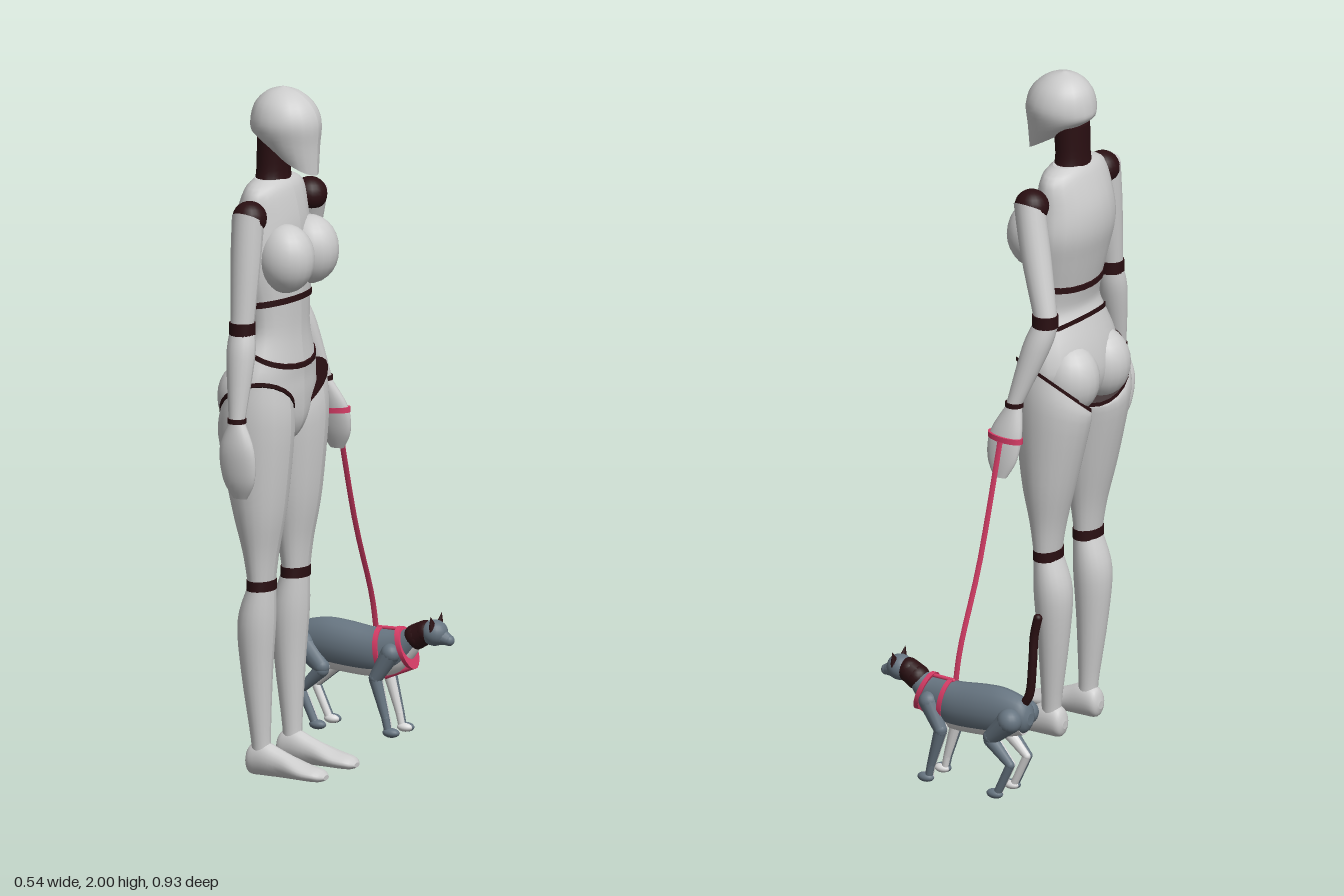
import * as THREE from 'three';

const paint = (name, color) => Object.assign(new THREE.MeshStandardMaterial({ color }), { name });
const shell = paint('pale grey', 0xcccccc);
const dark = paint('dark brown', 0x2a0f12);
const slate = paint('slate grey', 0x667480);
const pink = paint('pink', 0xd63c66);
const white = paint('off white', 0xdcdcdc);

const V = (x, y, z) => new THREE.Vector3(x, y, z);
const MID = 0.16; // centre plane of the figure
const CAT = -0.39; // centre plane of the cat

function add(group, name, geo, mat) {
  const m = new THREE.Mesh(geo, mat);
  m.name = name;
  group.add(m);
  return m;
}

// Smooth resampling of cross-sections
function smooth(rings, sub = 4) {
  const out = [];
  const get = (i, k) => rings[Math.min(Math.max(i, 0), rings.length - 1)][k] ?? 0;
  for (let i = 0; i < rings.length - 1; i++) for (let j = 0; j < sub; j++) {
    const t = j / sub;
    out.push([0, 1, 2, 3, 4, 5, 6].map((k) => {
      const a = get(i - 1, k), b = get(i, k), c = get(i + 1, k), d = get(i + 2, k);
      const u = (c - a) / 2, v = (d - b) / 2;
      return b + u * t + (3 * (c - b) - 2 * u - v) * t * t + (2 * (b - c) + u + v) * t ** 3;
    }));
  }
  out.push([0, 1, 2, 3, 4, 5, 6].map((k) => get(rings.length - 1, k)));
  return out;
}

// Loft through ellipses [x, y, z, radius1, radius2, tilt1, tilt2] along 'y' or 'x'
function loft(rings, axis = 'y', sub = 4, seg = 20) {
  const along = axis === 'y' ? 1 : 0;
  let list = smooth(rings, sub);
  if (list[0][along] > list[list.length - 1][along]) list = list.reverse();
  const pos = [], idx = [];
  const row = (r) => {
    for (let j = 0; j <= seg; j++) {
      const c = Math.cos((j / seg) * Math.PI * 2), s = Math.sin((j / seg) * Math.PI * 2);
      if (along) pos.push(r[0] + r[3] * c, r[1] + r[5] * c - r[6] * s, r[2] - r[4] * s);
      else pos.push(r[0] + r[5] * c + r[6] * s, r[1] + r[3] * c, r[2] + r[4] * s);
    }
  };
  list.forEach(row);
  const w = seg + 1;
  for (let i = 0; i < list.length - 1; i++) for (let j = 0; j < seg; j++) {
    const a = i * w + j;
    idx.push(a, a + 1, a + w + 1, a, a + w + 1, a + w);
  }
  // Flat end caps with their own vertices
  [list[0], list[list.length - 1]].forEach((r, end) => {
    const start = pos.length / 3;
    row(r);
    pos.push(r[0], r[1], r[2]);
    for (let j = 0; j < seg; j++) {
      if (end) idx.push(start + w, start + j, start + j + 1);
      else idx.push(start + w, start + j + 1, start + j);
    }
  });
  const g = new THREE.BufferGeometry();
  g.setAttribute('position', new THREE.Float32BufferAttribute(pos, 3));
  g.setIndex(idx);
  g.computeVertexNormals();
  return g;
}

// Narrow band around one cross-section
function band(r, h, axis = 'y', grow = 0.003) {
  const k = axis === 'y' ? 1 : 0;
  return loft([-h / 2, h / 2].map((d) => r.map((v, i) =>
    i === k ? v + d : i === 3 || i === 4 ? v + grow : v)), axis, 1, 24);
}

const ball = (x, y, z, rx, ry, rz) =>
  new THREE.SphereGeometry(1, 20, 14).scale(rx, ry, rz).translate(x, y, z);

// Tapered limb with rounded ends
function limb(group, name, a, b, ra, rb, mat) {
  const d = b.clone().sub(a);
  const m = add(group, name, new THREE.CylinderGeometry(rb, ra, d.length(), 12, 1, true), mat);
  m.position.copy(a).addScaledVector(d, 0.5);
  m.quaternion.setFromUnitVectors(V(0, 1, 0), d.normalize());
  [[a, ra], [b, rb]].forEach(([p, r]) => add(group, name + 'End', ball(p.x, p.y, p.z, r, r, r), mat));
}

function makeFigure() {
  const g = new THREE.Group();
  g.name = 'figure';
  // Head, neck and trunk
  add(g, 'head', loft([
    [0.05, 1.79, MID, 0.07, 0.056, -0.04], [0.022, 1.85, MID, 0.1, 0.083, -0.018],
    [0.02, 1.9, MID, 0.105, 0.095], [0.016, 1.95, MID, 0.088, 0.08],
    [0.012, 1.985, MID, 0.05, 0.046], [0.01, 2, MID, 0.004, 0.004]]), shell);
  add(g, 'neck', loft([[-0.02, 1.72, MID, 0.05, 0.07], [-0.02, 1.76, MID, 0.046, 0.06],
    [-0.015, 1.85, MID, 0.05, 0.06]]), dark);
  add(g, 'chest', loft([
    [-0.02, 1.735, MID, 0.045, 0.08], [-0.02, 1.705, MID, 0.065, 0.135], [-0.025, 1.62, MID, 0.09, 0.15],
    [-0.025, 1.54, MID, 0.095, 0.16], [-0.015, 1.46, MID, 0.088, 0.15],
    [-0.005, 1.39, MID, 0.078, 0.136, 0.012]]), shell);
  add(g, 'ribSeam', band([-0.005, 1.38, MID, 0.077, 0.135, 0.012], 0.016), dark);
  add(g, 'abdomen', loft([[-0.005, 1.375, MID, 0.076, 0.134, 0.012], [0, 1.3, MID, 0.07, 0.13, -0.01],
    [0, 1.24, MID, 0.079, 0.15, -0.04]]), shell);
  add(g, 'waistSeam', band([0, 1.235, MID, 0.08, 0.152, -0.042], 0.014), dark);
  add(g, 'pelvis', loft([
    [0, 1.232, MID, 0.081, 0.153, -0.042], [-0.015, 1.17, MID, 0.094, 0.177, -0.015],
    [-0.02, 1.1, MID, 0.1, 0.175], [-0.01, 1.03, MID, 0.085, 0.1],
    [0, 0.98, MID, 0.05, 0.045], [0, 0.962, MID, 0.015, 0.012]]), shell);

  for (const s of [1, -1]) {
    const at = (d) => MID + s * d;
    add(g, 'breast', ball(0.058, 1.515, at(0.073), 0.086, 0.1, 0.08), shell);
    add(g, 'buttock', ball(-0.06, 1.1, at(0.08), 0.09, 0.105, 0.085), shell);
    // Legs
    add(g, 'thigh', loft([
      [-0.02, 1.075, at(0.1), 0.105, 0.1, 0.045, 0.075 * s], [-0.02, 1, at(0.104), 0.112, 0.105, 0.02, 0.03 * s],
      [-0.01, 0.8, at(0.104), 0.081, 0.087], [-0.005, 0.66, at(0.104), 0.05, 0.064],
      [-0.003, 0.572, at(0.104), 0.037, 0.052]]), shell);
    add(g, 'hipSeam', band([-0.02, 1.078, at(0.1), 0.106, 0.101, 0.045, 0.075 * s], 0.012), dark);
    add(g, 'knee', band([-0.004, 0.562, at(0.103), 0.037, 0.051], 0.03), dark);
    add(g, 'calf', loft([
      [-0.005, 0.55, at(0.102), 0.04, 0.05], [-0.02, 0.45, at(0.102), 0.055, 0.059],
      [-0.02, 0.3, at(0.1), 0.045, 0.048], [-0.01, 0.1, at(0.095), 0.028, 0.03],
      [-0.008, 0.05, at(0.093), 0.034, 0.03]]), shell);
    add(g, 'foot', loft([
      [-0.055, 0.04, at(0.093), 0.012, 0.012], [-0.042, 0.045, at(0.093), 0.042, 0.031],
      [0, 0.05, at(0.093), 0.05, 0.036], [0.06, 0.038, at(0.093), 0.038, 0.036],
      [0.13, 0.024, at(0.095), 0.024, 0.047], [0.18, 0.018, at(0.095), 0.018, 0.038],
      [0.2, 0.014, at(0.093), 0.007, 0.016]], 'x'), shell);
    // Arms: the right one bends back at the elbow
    const e = s > 0 ? [0, 1.335, 0.387] : [-0.085, 1.335, -0.082];
    const w = s > 0 ? [0.008, 1.075, 0.435] : [-0.02, 1.085, -0.143];
    add(g, 'shoulder', ball(0, 1.648, at(0.183), 0.05, 0.05, 0.05), dark);
    add(g, 'upperArm', loft([
      [0, 1.645, at(0.193), 0.046, 0.047, 0, 0.028 * s],
      [e[0] * 0.4, 1.52, THREE.MathUtils.lerp(at(0.195), e[2], 0.4), 0.044, 0.043],
      [e[0], 1.35, e[2], 0.035, 0.033]]), shell);
    add(g, 'elbow', band([e[0], e[1], e[2], 0.035, 0.034], 0.036), dark);
    add(g, 'forearm', loft([
      [e[0], 1.32, e[2], 0.038, 0.036],
      [e[0] * 0.7 + w[0] * 0.3, 1.25, e[2] * 0.7 + w[2] * 0.3, 0.042, 0.04],
      [...w, 0.024, 0.023]]), shell);
    add(g, 'wrist', band([...w, 0.024, 0.023], 0.014), dark);
    const hand = s > 0
      ? [[0.008, 1.07, 0.435, 0.024, 0.021], [0.01, 0.99, 0.438, 0.055, 0.026],
        [0.013, 0.9, 0.432, 0.05, 0.021], [0.012, 0.845, 0.422, 0.022, 0.01]]
      : [[-0.02, 1.08, -0.144, 0.024, 0.021], [-0.005, 1, -0.163, 0.052, 0.025],
        [0, 0.925, -0.176, 0.049, 0.02], [0, 0.872, -0.187, 0.022, 0.01]];
    add(g, 'hand', loft(hand), shell);
  }
  // Leash: loop around the hand and a long strap
  add(g, 'leashLoop', band([-0.004, 0.988, -0.166, 0.054, 0.026, 0.004], 0.016), pink);
  add(g, 'leash', loft([[0.018, 0.31, CAT + 0.002, 0.009, 0.002], [0.014, 0.42, -0.365, 0.009, 0.002],
    [0.004, 0.65, -0.283, 0.009, 0.002], [-0.004, 0.985, -0.192, 0.009, 0.002]], 'y', 4, 8), pink);
  return g;
}

function makeCat() {
  const g = new THREE.Group();
  g.name = 'cat';
  g.position.z = CAT;
  const body = [
    [-0.24, 0.245, 0, 0.018, 0.016], [-0.22, 0.25, 0, 0.05, 0.04], [-0.15, 0.25, 0, 0.07, 0.053],
    [-0.08, 0.245, 0, 0.073, 0.058], [0, 0.238, 0, 0.07, 0.055], [0.05, 0.24, 0, 0.067, 0.048],
    [0.1, 0.25, 0, 0.058, 0.042], [0.14, 0.28, 0, 0.042, 0.034], [0.16, 0.3, 0, 0.03, 0.03]];
  add(g, 'body', loft(body, 'x'), slate);
  add(g, 'belly', loft(body.slice(1).map(([x, y, z, a, b]) => [x, y - 0.006, z, a, b * 0.9]), 'x'), white);
  // Neck, head and tail
  limb(g, 'neck', V(0.148, 0.293, 0), V(0.178, 0.309, 0), 0.037, 0.035, dark);
  add(g, 'head', ball(0.207, 0.311, 0, 0.04, 0.038, 0.038), slate);
  limb(g, 'muzzle', V(0.22, 0.304, 0), V(0.254, 0.293, 0), 0.028, 0.016, slate);
  const tail = new THREE.CatmullRomCurve3([V(-0.215, 0.285, 0), V(-0.235, 0.32, 0), V(-0.243, 0.42, 0.005),
    V(-0.245, 0.5, 0.01), V(-0.256, 0.555, 0.012)]);
  add(g, 'tail', new THREE.TubeGeometry(tail, 20, 0.013, 10), dark);
  add(g, 'tailTip', ball(-0.256, 0.555, 0.012, 0.013, 0.013, 0.013), dark);

  for (const s of [1, -1]) {
    const ear = add(g, 'ear', new THREE.ConeGeometry(0.019, 0.042, 8), dark);
    ear.scale.x = 0.6;
    ear.position.set(0.212, 0.345, s * 0.027);
    ear.rotation.x = s * 0.35;
    // Legs, with a pale inner side
    const leg = (name, mat, inset, k) => {
      const P = (x, y, d) => V(x, y, s * (d - inset));
      limb(g, 'hindThigh' + name, P(-0.195, 0.245, 0.043), P(-0.135, 0.185, 0.046), 0.037 * k, 0.024 * k, mat);
      limb(g, 'hindShin' + name, P(-0.135, 0.175, 0.046), P(-0.2, 0.112, 0.046), 0.022 * k, 0.013 * k, mat);
      limb(g, 'hindFoot' + name, P(-0.2, 0.112, 0.046), P(-0.158, 0.022, 0.046), 0.013 * k, 0.012 * k, mat);
      add(g, 'hindPaw' + name, ball(-0.147, 0.014, s * (0.046 - inset), 0.026 * k, 0.014 * k, 0.018 * k), mat);
      limb(g, 'foreShoulder' + name, P(0.085, 0.245, 0.038), P(0.04, 0.17, 0.045), 0.029 * k, 0.02 * k, mat);
      limb(g, 'foreLeg' + name, P(0.04, 0.165, 0.045), P(0.072, 0.055, 0.045), 0.019 * k, 0.012 * k, mat);
      limb(g, 'forePastern' + name, P(0.072, 0.055, 0.045), P(0.08, 0.018, 0.045), 0.012 * k, 0.011 * k, mat);
      add(g, 'forePaw' + name, ball(0.09, 0.014, s * (0.045 - inset), 0.026 * k, 0.014 * k, 0.018 * k), mat);
    };
    leg('', slate, 0, 1);
    leg('Inner', white, 0.006, 0.93);
  }
  // Harness: two girths joined along the back and the chest
  add(g, 'rearGirth', band([0.042, 0.24, 0, 0.068, 0.05, -0.01], 0.015, 'x'), pink);
  add(g, 'frontGirth', band([0.117, 0.258, 0, 0.056, 0.043, -0.022], 0.015, 'x', 0.004), pink);
  limb(g, 'backStrap', V(0.025, 0.308, 0), V(0.1, 0.31, 0), 0.006, 0.006, pink);
  limb(g, 'chestStrap', V(0.05, 0.167, 0), V(0.135, 0.203, 0), 0.008, 0.008, pink);
  return g;
}

export function createModel() {
  const model = new THREE.Group();
  model.name = 'figureWalkingCat';
  model.add(makeFigure(), makeCat());
  return model;
}
